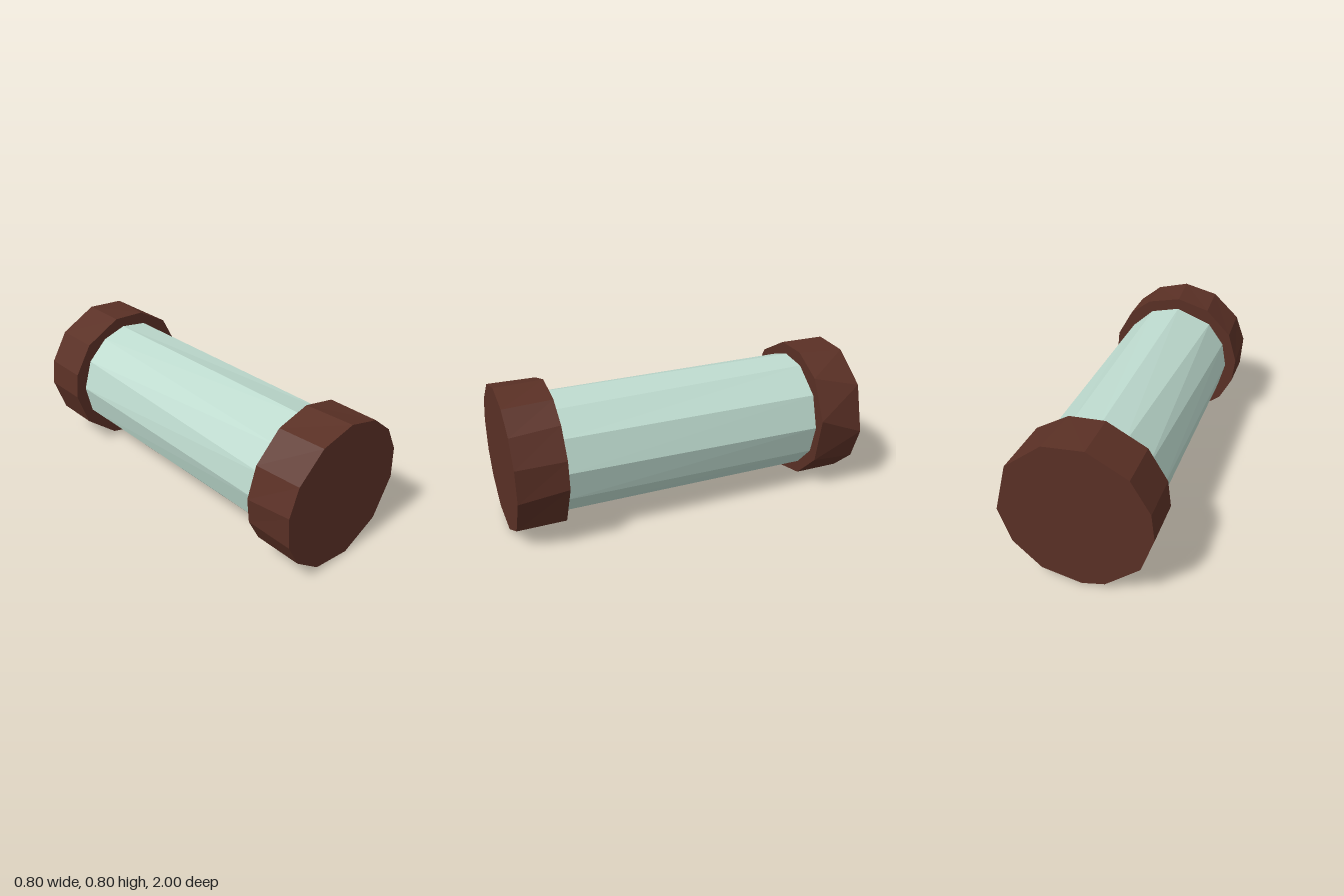
import * as THREE from 'three';

// Closed faceted drum between two irregular rings; angles in degrees, counterclockwise seen from +z
function facetedDrum(radius, zFront, frontAngles, zBack, backAngles) {
  const ring = (angles, z) => angles.map((a) => {
    const t = THREE.MathUtils.degToRad(a);
    return new THREE.Vector3(radius * Math.cos(t), radius * Math.sin(t), z);
  });
  const front = ring(frontAngles, zFront);
  const back = ring(backAngles, zBack);
  const frontCentre = new THREE.Vector3(0, 0, zFront);
  const backCentre = new THREE.Vector3(0, 0, zBack);
  const points = [];
  const n = front.length;
  for (let i = 0; i < n; i++) {
    const j = (i + 1) % n;
    points.push(front[i], back[i], back[j], front[i], back[j], front[j]);
    points.push(frontCentre, front[i], front[j], backCentre, back[j], back[i]);
  }
  const geometry = new THREE.BufferGeometry().setFromPoints(points);
  geometry.computeVertexNormals();
  return geometry;
}

export function createModel() {
  const group = new THREE.Group();
  const wood = new THREE.MeshStandardMaterial({ color: 0x5a3025 });
  wood.name = 'dark brown';
  const glass = new THREE.MeshStandardMaterial({ color: 0xbddace });
  glass.name = 'pale green';

  const add = (name, geometry, material) => {
    const mesh = new THREE.Mesh(geometry, material);
    mesh.name = name;
    mesh.position.y = 0.4;
    group.add(mesh);
  };

  // Hand-cut end caps
  add('frontCap', facetedDrum(0.4,
    1, [89, 118, 148, 171, 197, 219, 247, 280, 315, 350, 376, 399, 422],
    0.735, [92, 120, 150, 176, 197, 219, 247, 278, 315, 354, 376, 402, 424]), wood);
  add('backCap', facetedDrum(0.4,
    -0.735, [9, 45, 74, 101, 135, 163, 184, 214, 248, 266, 297, 330],
    -1, [-6, 34, 70, 101, 135, 163, 184, 214, 248, 266, 297, 326]), wood);

  // Slightly twisted tube between the caps
  add('tube', facetedDrum(0.335,
    0.75, [2, 33, 62, 92, 130, 157, 182, 208, 236, 270, 303, 333],
    -0.75, [0, 33, 68, 95, 120, 148, 178, 207, 238, 268, 302, 331]), glass);

  return group;
}
